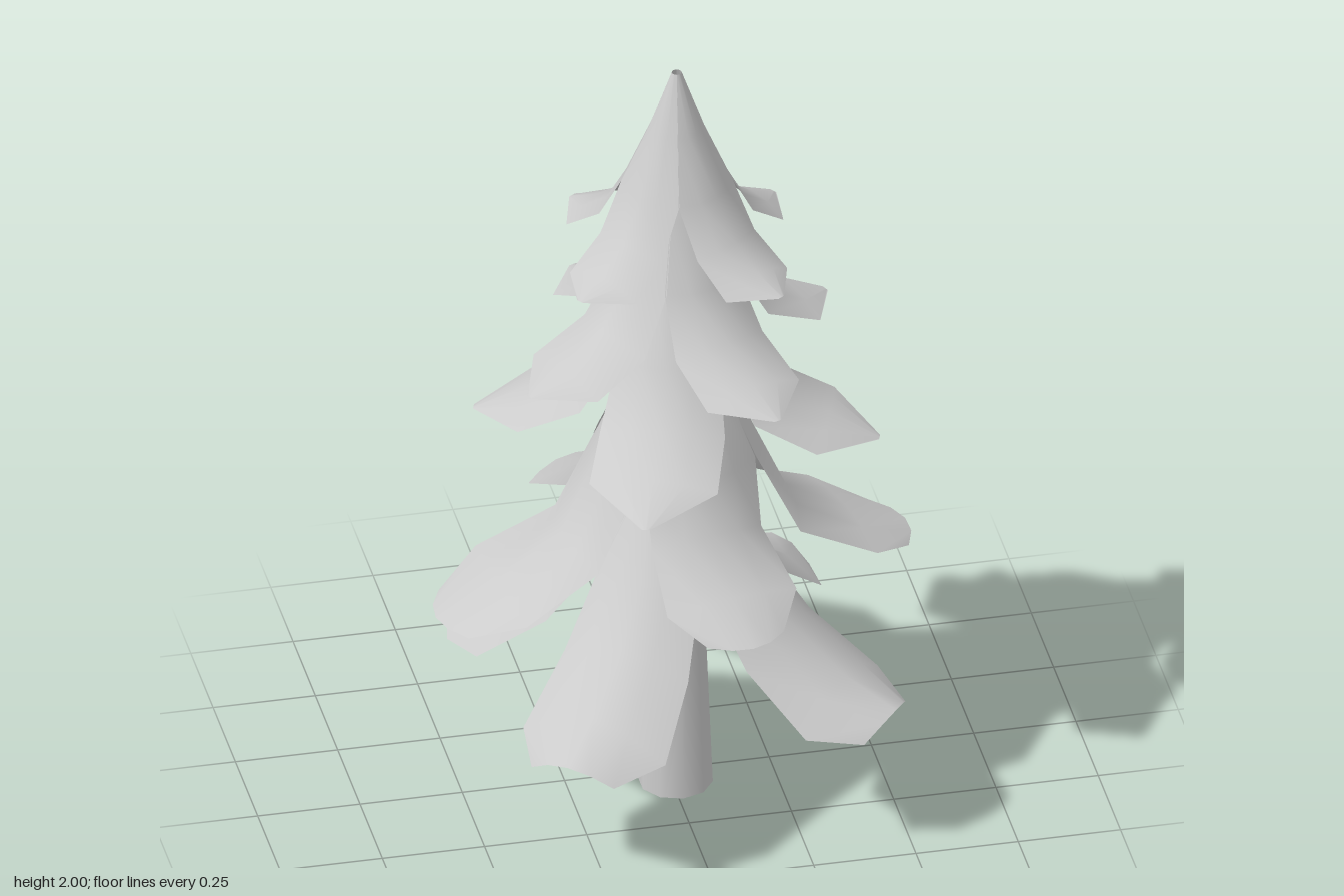
import * as THREE from 'three';

const material = new THREE.MeshStandardMaterial({ color: 0xcccccc, side: THREE.DoubleSide });
const COLUMNS = 4;

// One drooping bough pointing along +x.
// Each row: [reach, height, half width, edge setback, edge drop]
function boughGeometry(rows) {
  const positions = [], index = [];
  rows.forEach(([reach, y, w, setback, drop], i) => {
    for (let j = 0; j <= COLUMNS; j++) {
      const t = (j / COLUMNS) * 2 - 1;
      positions.push(reach - setback * t * t, y - drop * t * t, w * t);
      if (i > 0 && j > 0) {
        const c = i * (COLUMNS + 1) + j - 1, a = c - COLUMNS - 1;
        index.push(a, a + 1, c, a + 1, c + 1, c);
      }
    }
  });
  const geometry = new THREE.BufferGeometry();
  geometry.setAttribute('position', new THREE.Float32BufferAttribute(positions, 3));
  geometry.setIndex(index);
  geometry.computeVertexNormals();
  return geometry;
}

// A quarter of a round cone: neighbouring boughs meet along their edges
const quarter = (r, y) => [r, y, r * 0.72, r * 0.29, 0];

// The upper three tiers end in points, the lower two in blunt tips
const tiers = [
  { name: 'topTier', z: 0.065, angles: [-35, 55, 145, 235], rows: [
    quarter(0.012, 2.0), quarter(0.065, 1.85), quarter(0.13, 1.7),
    [0.19, 1.6, 0.1, 0.03, 0.02], [0.265, 1.545, 0.107, 0.005, 0.035],
    [0.34, 1.51, 0.01, 0, 0]] },
  { name: 'upperTier', z: 0.065, angles: [-22, 68, 157, 247], rows: [
    quarter(0.02, 1.78), quarter(0.08, 1.62), quarter(0.145, 1.46),
    [0.22, 1.35, 0.125, 0.04, 0.03], [0.33, 1.285, 0.132, 0.005, 0.03],
    [0.43, 1.24, 0.01, 0, 0]] },
  { name: 'middleTier', z: 0.06, angles: [20, 111, 201, 289], rows: [
    quarter(0.02, 1.58), quarter(0.1, 1.4), quarter(0.17, 1.26),
    [0.25, 1.14, 0.15, 0.04, 0.03], [0.37, 1.075, 0.155, 0.01, 0.03],
    [0.49, 1.01, 0.01, 0, 0]] },
  { name: 'lowerTier', z: 0.06, angles: [-13, 79, 174, 259], shortBough: 1, rows: [
    quarter(0.02, 1.38), quarter(0.12, 1.14), quarter(0.2, 0.96),
    [0.29, 0.76, 0.165, 0.04, 0.03], [0.45, 0.655, 0.195, 0.01, 0.02],
    [0.605, 0.58, 0.115, 0.045, 0]] },
  { name: 'bottomTier', z: 0.07, angles: [39, 129, 217, 305], rows: [
    quarter(0.02, 1.02), quarter(0.1, 0.84), quarter(0.18, 0.68),
    [0.3, 0.54, 0.165, 0.03, 0.06], [0.45, 0.43, 0.19, 0.01, 0.08],
    [0.585, 0.37, 0.11, 0.03, 0.045]] },
];

export function createModel() {
  const model = new THREE.Group();
  model.name = 'pineTree';

  // Tapered trunk
  const trunk = new THREE.Mesh(new THREE.CylinderGeometry(0.05, 0.09, 1.0, 10), material);
  trunk.name = 'trunk';
  trunk.position.set(0.01, 0.5, 0.05);
  model.add(trunk);

  // Five tiers of four boughs
  for (const { name, z, angles, rows, shortBough } of tiers) {
    const tier = new THREE.Group();
    tier.name = name;
    tier.position.set(0.01, 0, z);
    const geometry = boughGeometry(rows);
    // One bough hangs closer to the trunk and ends higher up
    const shortRows = rows.map(([r, y, w, b, d], i) =>
      i < 3 ? [r, y, w, b, d] : [r * 0.77, y + 0.06, w * 0.86, b, d]);
    angles.forEach((angle, i) => {
      const bough = new THREE.Mesh(i === shortBough ? boughGeometry(shortRows) : geometry, material);
      bough.name = 'bough';
      bough.rotation.y = -THREE.MathUtils.degToRad(angle);
      tier.add(bough);
    });
    model.add(tier);
  }
  return model;
}
